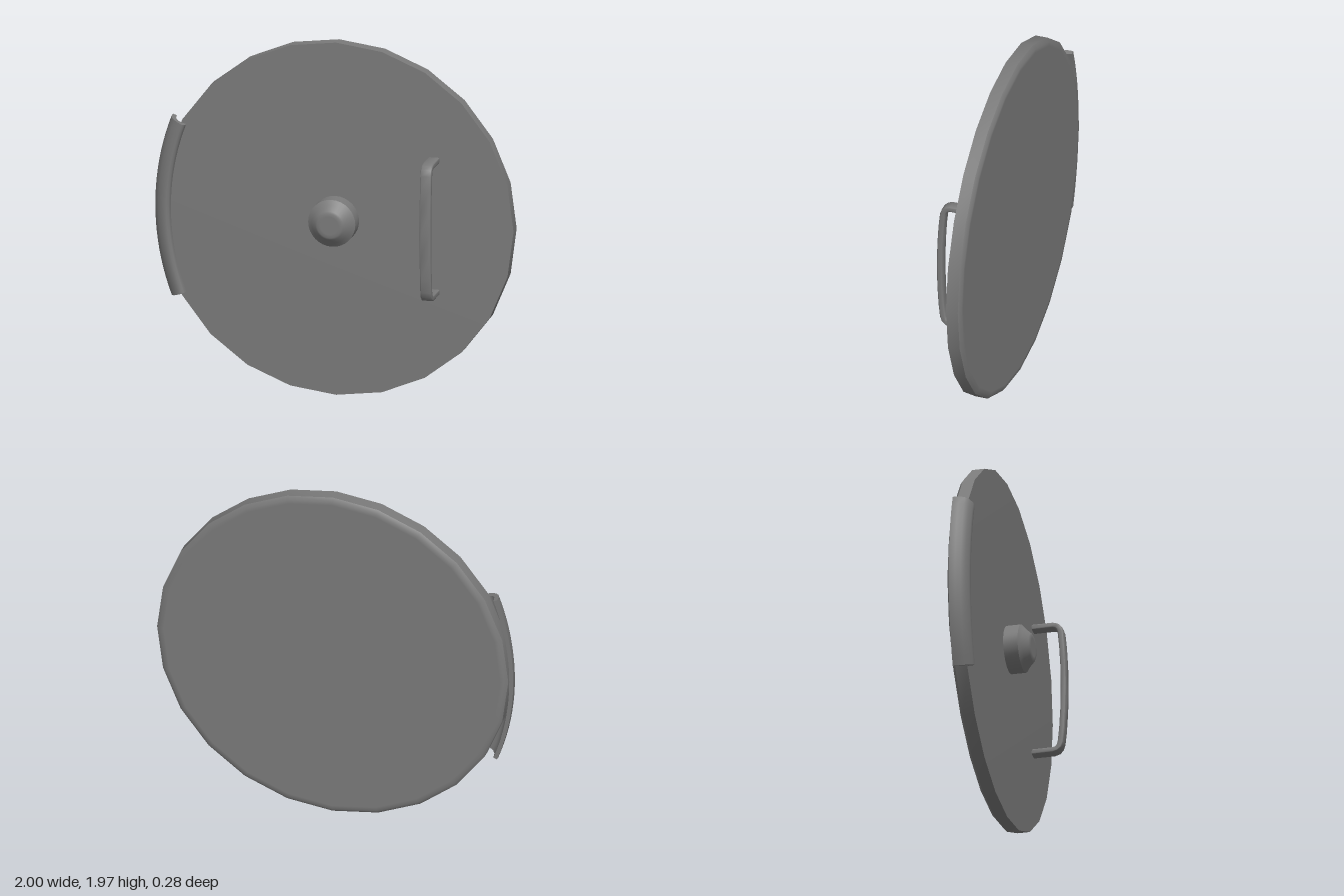
import * as THREE from 'three';
import { toCreasedNormals } from 'three/addons/utils/BufferGeometryUtils.js';

const CX = 0.013, CY = 0.988;
const COLOR = 0x7a7a7a;
const material = new THREE.MeshStandardMaterial({ color: COLOR });
const doubleSided = new THREE.MeshStandardMaterial({ color: COLOR, side: THREE.DoubleSide });
const points = (list) => list.map(([a, b]) => new THREE.Vector2(a, b));

// Revolves a (radius, z) profile about the z axis.
function revolve(profile, segments, start = 0, length = Math.PI * 2) {
  const geometry = new THREE.LatheGeometry(points(profile), segments, start, length);
  geometry.rotateX(Math.PI / 2);
  return toCreasedNormals(geometry, 0.78);
}

function addMesh(parent, name, geometry, x = 0, y = 0, mat = material) {
  const mesh = new THREE.Mesh(geometry, mat);
  mesh.name = name;
  mesh.position.set(x, y, 0);
  parent.add(mesh);
}

// Bowed flat-bar handle: thickened side outline, extruded across its width.
function handleGeometry() {
  const half = 0.016, width = 0.062, bevel = 0.008;
  const upper = [[-0.06, 0.369], [0.065, 0.369], [0.085, 0.363], [0.099, 0.349], [0.107, 0.325],
    [0.115, 0.25], [0.122, 0.13]];
  const path = points([...upper, [0.124, 0], ...upper.map(([z, y]) => [z, -y]).reverse()]);
  const outer = [], inner = [];
  path.forEach((p, i) => {
    const a = path[Math.max(i - 1, 0)], b = path[Math.min(i + 1, path.length - 1)];
    const t = b.clone().sub(a).normalize();
    const n = new THREE.Vector2(-t.y, t.x).multiplyScalar(half);
    outer.push(p.clone().add(n));
    inner.push(p.clone().sub(n));
  });
  const shape = new THREE.Shape([...outer, ...inner.reverse()]);
  const geometry = new THREE.ExtrudeGeometry(shape, {
    depth: width - 2 * bevel, bevelEnabled: true, bevelThickness: bevel,
    bevelSize: bevel, bevelOffset: -bevel, bevelSegments: 3,
  });
  geometry.translate(0, 0, -width / 2 + bevel);
  geometry.rotateY(-Math.PI / 2); // outline x becomes z
  return toCreasedNormals(geometry, 0.8);
}

// Curved, hooked guard over the rim, with closed ends.
function buildGuard() {
  const guard = new THREE.Group();
  guard.name = 'rimGuard';
  guard.position.set(0.43, CY, 0);
  const profile = [[1.408, -0.12], [1.43, -0.12], [1.429, -0.085], [1.418, -0.056], [1.398, -0.034],
    [1.372, -0.021], [1.35, -0.017], [1.339, -0.024], [1.335, -0.036], [1.334, -0.058],
    [1.36, -0.048], [1.385, -0.056], [1.401, -0.08], [1.408, -0.12]];
  const half = 0.358;
  addMesh(guard, 'guardShell', revolve(profile, 20, Math.PI * 1.5 - half, half * 2), 0, 0, doubleSided);
  for (const side of [-1, 1]) {
    const radial = new THREE.Vector3(-Math.cos(half), side * Math.sin(half), 0);
    const axis = new THREE.Vector3(0, 0, 1);
    const cap = new THREE.ShapeGeometry(new THREE.Shape(points(profile.slice(0, -1))));
    cap.applyMatrix4(new THREE.Matrix4().makeBasis(radial, axis, radial.clone().cross(axis)));
    addMesh(guard, side > 0 ? 'guardTopEnd' : 'guardBottomEnd', cap, 0, 0, doubleSided);
  }
  return guard;
}

export function createModel() {
  const model = new THREE.Group();
  model.name = 'roundDoor';

  // Slightly domed disc; the extra back ring keeps its flat face evenly shaded
  addMesh(model, 'disc', revolve([[0, -0.138], [0.945, -0.138], [0.967, -0.138], [0.986, -0.122],
    [0.986, -0.055], [0, -0.042]], 24), CX, CY);

  // Central knob with tapered face
  addMesh(model, 'centerKnob', revolve([[0.131, -0.06], [0.131, 0.036], [0.106, 0.055],
    [0.079, 0.084], [0.068, 0.09], [0.05, 0.09], [0, 0.09]], 32), CX, CY);

  addMesh(model, 'pullHandle', handleGeometry(), 0.557, CY);
  model.add(buildGuard());
  return model;
}
